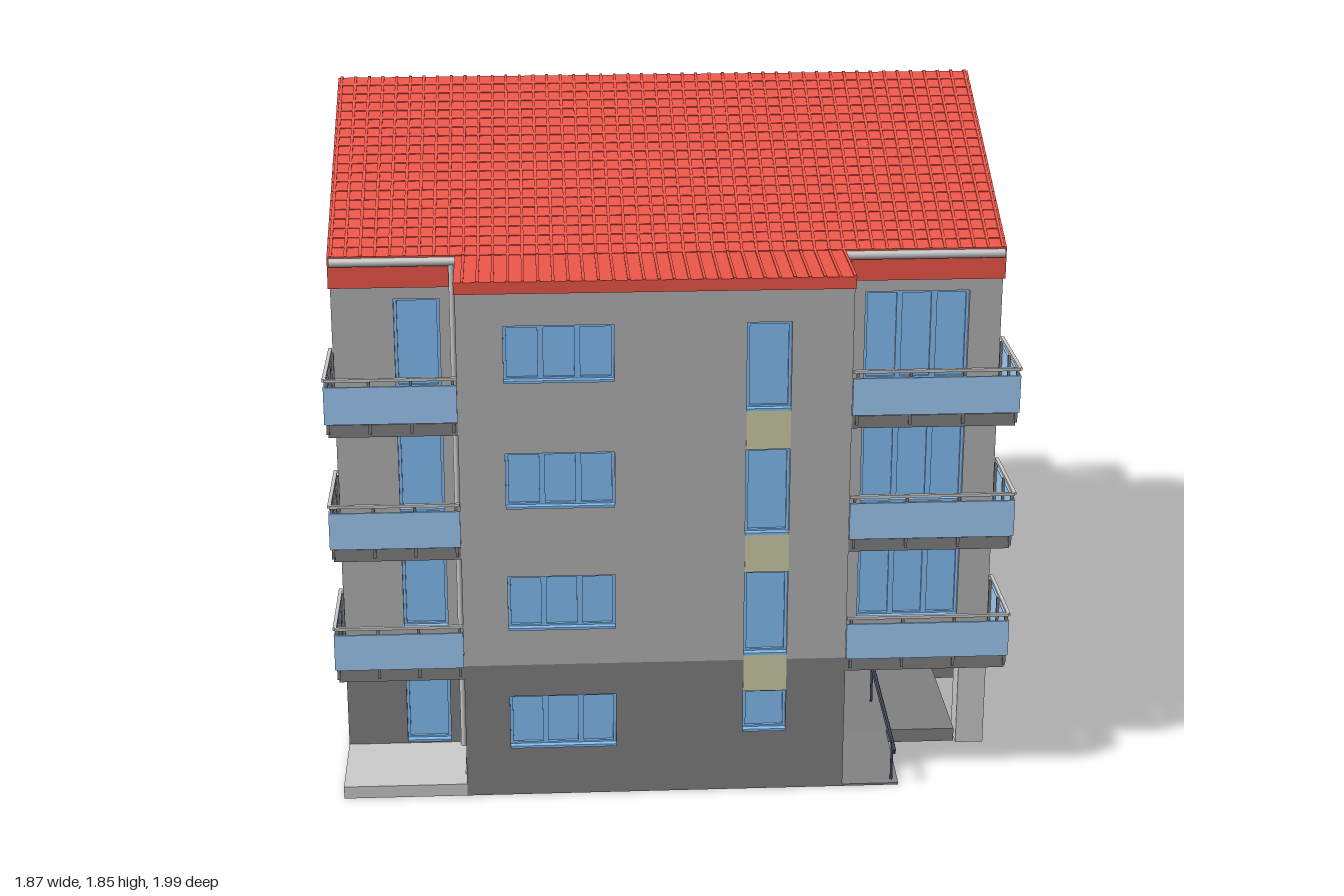
import * as THREE from 'three';
import { mergeGeometries } from 'three/addons/utils/BufferGeometryUtils.js';

const mat = (color) => new THREE.MeshStandardMaterial({ color, side: THREE.DoubleSide });
const M = {
  wall: mat(0xb5b5b5), base: mat(0x818181), light: mat(0xcccccc), red: mat(0xf0574a), glass: mat(0x86c0f8),
  panel: mat(0xa0cdf8), yellow: mat(0xcfcfa8), mauve: mat(0xb5a8ac), door: mat(0xc3b9f3), dark: mat(0x40465a),
};
const T = 0.03, STOREY = 0.36, SPLIT = 0.4, TOP = 1.48;
const XL = -0.58, XR = 0.48, SIDE = 0.925, WING = 0.71, FRONT = 0.97, BACK = 0.985;

function add(parent, name, geo, material) {
  const m = new THREE.Mesh(geo, material);
  m.name = name;
  parent.add(m);
  return m;
}
// Box given by its minimum and maximum on each axis
function boxGeo(x0, x1, y0, y1, z0, z1) {
  return new THREE.BoxGeometry(Math.abs(x1 - x0), Math.abs(y1 - y0), Math.abs(z1 - z0))
    .translate((x0 + x1) / 2, (y0 + y1) / 2, (z0 + z1) / 2);
}
const box = (parent, name, material, ...b) => add(parent, name, boxGeo(...b), material);
const rect = (a, b, c, d) => [[a, c], [b, c], [b, d], [a, d]];
const toPoints = (pts) => pts.map(([x, y]) => new THREE.Vector2(x, y));

function slab(outline, holes, depth) {
  const s = new THREE.Shape(toPoints(outline));
  holes.forEach((h) => s.holes.push(new THREE.Path(toPoints(h))));
  return new THREE.ExtrudeGeometry(s, { depth, bevelEnabled: false });
}

// Framed glazing set back in a wall opening
function glazing(parent, d, [u0, u1, y0, y1, kind]) {
  const g = new THREE.Group();
  g.name = kind === 'door' ? 'entranceDoor' : 'window';
  parent.add(g);
  const mtl = kind === 'door' ? M.door : M.glass;
  box(g, 'pane', mtl, u0, u1, y0, y1, d - 0.024, d - 0.02);
  const n = u1 - u0 > 0.25 ? 3 : u1 - u0 > 0.2 ? 2 : 1, w = (u1 - u0) / n, f = 0.008;
  const holes = [];
  for (let i = 0; i < n; i++) holes.push(rect(u0 + i * w + f, u0 + (i + 1) * w - f, y0 + f, y1 - f));
  add(g, 'frame', slab(rect(u0, u1, y0, y1), holes, 0.008).translate(0, 0, d - 0.02), mtl);
  if (kind !== 'door') box(g, 'sill', mtl, u0, u1, y0 - 0.004, y0 + 0.003, d - 0.02, d + 0.005);
}

// Wall piece: u runs to the right as seen from outside, d is the distance of its face
function wall(parent, name, turn, d, outline, openings, material) {
  const g = new THREE.Group();
  g.name = name;
  g.rotation.y = turn * Math.PI / 2;
  parent.add(g);
  add(g, 'wallPanel', slab(outline, openings.map((o) => rect(...o)), T).translate(0, 0, d - T), material);
  openings.forEach((o) => glazing(g, d, o));
  return g;
}
// Dark ground storey and light upper storeys of a wall
function fullWall(parent, name, turn, d, u0, u1, openings, lower, upper) {
  const split = (low) => openings.filter((o) => (o[2] < SPLIT) === low);
  const g = wall(parent, name, turn, d, upper || rect(u0, u1, SPLIT, TOP), split(false), M.wall);
  wall(parent, name + 'Base', turn, d, lower || rect(u0, u1, 0, SPLIT), split(true), M.base);
  return g;
}
const rows = (u0, u1, sill, from = 0) => [0, 1, 2, 3].slice(from)
  .map((k) => [u0, u1, sill + STOREY * k, 0.305 + STOREY * k]);
const WIN = 0.15, DOOR = 0.045;

function balcony(parent, inner, outer, s, D) {
  const sx = Math.sign(outer), xa = Math.min(inner, outer), xb = Math.max(inner, outer);
  for (let k = 1; k < 4; k++) {
    const y = STOREY * k, g = new THREE.Group();
    g.name = 'balcony';
    parent.add(g);
    box(g, 'balconySlab', M.base, xa, xb, y, y + 0.035, s * WING, s * D);
    const zo = s * (D + 0.008), xo = outer + sx * 0.006;
    box(g, 'frontPanel', M.panel, inner, xo, y + 0.04, y + 0.145, zo - 0.003, zo + 0.003);
    box(g, 'sidePanel', M.panel, xo - 0.003, xo + 0.003, y + 0.04, y + 0.145, s * (WING + 0.01), zo);
    box(g, 'frontRail', M.light, inner, xo, y + 0.16, y + 0.168, zo - 0.005, zo + 0.005);
    box(g, 'sideRail', M.light, xo - 0.005, xo + 0.005, y + 0.16, y + 0.168, s * WING, zo);
    const post = (x, z) => box(g, 'railPost', M.base, x - 0.004, x + 0.004, y + 0.01, y + 0.16, z - 0.004, z + 0.004);
    for (let i = 0; i <= 3; i++) post(inner + (outer - inner) * (0.03 + 0.97 * i / 3), s * (D + 0.001));
    for (let i = 0; i < 2; i++) post(outer, s * (WING + 0.02 + 0.12 * i));
  }
  // Gutter and downpipe
  add(parent, 'gutter', new THREE.CylinderGeometry(0.012, 0.012, xb - xa, 10).rotateZ(Math.PI / 2)
    .translate((xa + xb) / 2, 1.495, s * 0.727), M.light);
  add(parent, 'downpipe', new THREE.CylinderGeometry(0.009, 0.009, 1.46, 10)
    .translate(inner + sx * 0.013, 0.76, s * 0.727), M.light);
}

function roof(parent) {
  // Stepped tile courses on both slopes, with eaves fascia
  const N = 20, up = [];
  for (let i = 0; i < N; i++) {
    const y = 1.508 + 0.34 * i / N;
    up.push([-0.72 + 0.72 * i / N, y + 0.002], [-0.72 + 0.72 * (i + 1) / N, y + 0.34 / N]);
  }
  const down = up.map(([u, y]) => [-u, y]).reverse().slice(1);
  const profile = [...up, ...down, [0.72, 1.42], [0.67, 1.42], [0.67, 1.483], [0, 1.8],
    [-0.67, 1.483], [-0.67, 1.42], [-0.72, 1.42]];
  add(parent, 'mainRoof', slab(profile, [], 2 * SIDE + 0.01).translate(0, 0, -SIDE - 0.005).rotateY(Math.PI / 2), M.red);
  // Tile ribs
  const ribs = [], a = Math.atan2(0.34, 0.72), len = Math.hypot(0.72, 0.34);
  for (let x = -0.92; x < 0.925; x += 0.04) {
    for (const s of [-1, 1]) {
      ribs.push(new THREE.BoxGeometry(0.008, 0.006, len).rotateX(s * a).translate(x, 1.679, s * 0.36));
    }
  }
  for (const [s, D] of [[1, FRONT], [-1, BACK]]) {
    box(parent, 'bayRoof', M.red, XL - 0.003, XR + 0.003, 1.475, 1.508, s * 0.66, s * (D + 0.004));
    for (let x = XL + 0.02; x < XR; x += 0.04) ribs.push(boxGeo(x - 0.004, x + 0.004, 1.505, 1.511, s * 0.7, s * (D + 0.004)));
  }
  add(parent, 'roofRibs', mergeGeometries(ribs), M.red);
}

function entrance(parent) {
  // Open porch in the front corner
  wall(parent, 'porchRearWall', 0, 0.29, rect(XR, SIDE, 0, SPLIT), [[0.545, 0.785, 0.045, 0.305, 'door']], M.base);
  wall(parent, 'porchSideWall', 1, XR, rect(-WING, -0.29, 0, SPLIT), [[-0.64, -0.42, 0.24, 0.32]], M.base);
  box(parent, 'porchCeiling', M.base, XR, SIDE - 0.005, 0.332, 0.36, 0.29, WING - 0.005);
  box(parent, 'porchFloor', M.base, XR, 0.84, 0, 0.04, 0.29, WING);
  box(parent, 'porchPillar', M.light, 0.845, SIDE, 0, 0.33, 0.64, 0.72);
  add(parent, 'ramp', slab([[-0.97, 0], [-WING, 0], [-WING, 0.04], [-0.97, 0.006]], [], 0.16)
    .rotateY(Math.PI / 2).translate(XR, 0, 0), M.base);
  // Handrail along the ramp
  const v = (y, z) => new THREE.Vector3(0.622, y, z);
  const path = new THREE.CatmullRomCurve3([v(0.17, 0.5), v(0.13, 0.97), v(0.122, 1), v(0.112, 0.985), v(0.15, 0.52)], true, 'catmullrom', 0.1);
  add(parent, 'handrail', new THREE.TubeGeometry(path, 60, 0.004, 6, true), M.dark);
  for (const [z, h] of [[0.52, 0.165], [0.95, 0.125]]) {
    add(parent, 'handrailPost', new THREE.CylinderGeometry(0.004, 0.004, h, 6).translate(0.622, h / 2, z), M.dark);
  }
}

export function createModel() {
  const root = new THREE.Group();
  root.name = 'apartmentBuilding';

  // Projecting bays, front and back
  const stair = [[0.195, 0.315, 0.185, 0.305], ...[1, 2, 3].map((k) => [0.195, 0.315, 0.06 + STOREY * k, 0.305 + STOREY * k])];
  const front = fullWall(root, 'frontBay', 0, FRONT, XL, XR, [...rows(-0.455, -0.16, WIN), ...stair]);
  const back = fullWall(root, 'backBay', 2, BACK, -XR, -XL, [...rows(0.165, 0.455, WIN), ...rows(-0.33, -0.11, WIN)]);

  // Gable ends
  const gable = [[-WING, SPLIT], [WING, SPLIT], [WING, TOP], [0, 1.815], [-WING, TOP]];
  const porchCut = [[-WING, 0.33], [-0.29, 0.33], [-0.29, 0], [WING, 0], [WING, SPLIT], [-WING, SPLIT]];
  const left = fullWall(root, 'leftGable', 1, SIDE, 0, 0,
    [...rows(-0.335, -0.21, WIN, 1), ...rows(0.27, 0.42, WIN), [-0.205, -0.085, 0.045, 0.305]], porchCut, gable);
  fullWall(root, 'rightGable', -1, SIDE, -WING, WING, [...rows(-0.46, -0.32, WIN), ...rows(0.31, 0.45, WIN)], null, gable);

  // Coloured infill between stacked windows
  for (let k = 0; k < 3; k++) {
    const y = 0.305 + STOREY * k;
    box(front, 'infill', M.yellow, 0.195, 0.315, y, 0.42 + STOREY * k, FRONT - 0.01, FRONT + 0.002);
    box(back, 'infill', M.mauve, -0.33, -0.11, y, y + 0.205, BACK - 0.01, BACK + 0.002);
    box(left, 'infill', M.mauve, 0.27, 0.42, y, y + 0.205, SIDE - 0.01, SIDE + 0.002);
  }

  // Set-back walls behind the balconies
  fullWall(root, 'frontRightWing', 0, WING, -SIDE, XL, rows(-0.755, -0.63, DOOR));
  fullWall(root, 'frontLeftWing', 0, WING, XR, SIDE, rows(0.545, 0.835, DOOR, 1), rect(XR, SIDE, 0.33, SPLIT));
  fullWall(root, 'backLeftWing', 2, WING, -SIDE, -XR, rows(-0.835, -0.545, DOOR));
  fullWall(root, 'backRightWing', 2, WING, -XL, SIDE, rows(0.63, 0.835, DOOR));

  // Bay flanks with balcony doors
  fullWall(root, 'bayFlank', 1, XR, -FRONT, -WING, rows(-0.92, -0.8, DOOR, 1));
  fullWall(root, 'bayFlank', 1, XR, WING, BACK, rows(0.8, 0.92, DOOR));
  fullWall(root, 'bayFlank', -1, -XL, WING, FRONT, rows(0.8, 0.92, DOOR));
  fullWall(root, 'bayFlank', -1, -XL, -BACK, -WING, rows(-0.92, -0.8, DOOR));

  // Corner balconies and ground terraces
  for (const [s, D] of [[1, FRONT], [-1, BACK]]) {
    for (const [inner, outer] of [[XL, -SIDE], [XR, SIDE]]) {
      balcony(root, inner, outer, s, D);
      if (s < 0 || outer < 0) box(root, 'terrace', M.light, inner, outer, 0, 0.036, s * WING, s * D);
    }
  }

  roof(root);
  entrance(root);
  return root;
}
